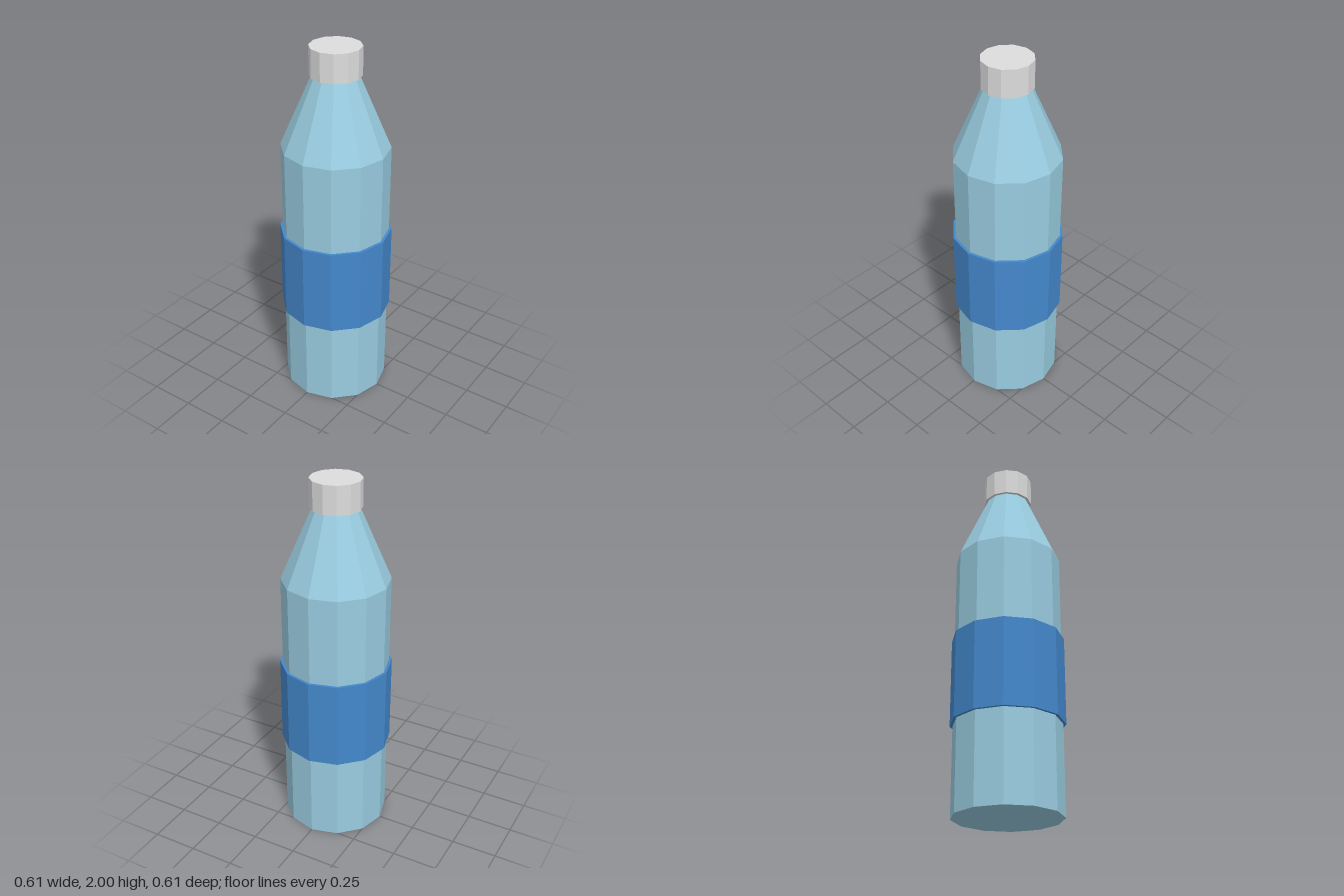
import * as THREE from 'three';

const SIDES = 12;

export function createModel() {
  const model = new THREE.Group();
  model.name = 'bottle';

  const flat = (name, color) => {
    const m = new THREE.MeshStandardMaterial({ color, flatShading: true });
    m.name = name;
    return m;
  };
  const paleBlue = flat('pale blue', 0x99cce0);
  const blue = flat('blue', 0x4488cc);
  const lightGrey = flat('light grey', 0xdddddd);

  // Faceted part turned from [radius, y] points, listed bottom to top
  const turned = (name, material, points) => {
    const profile = points.map(([r, y]) => new THREE.Vector2(r, y));
    const mesh = new THREE.Mesh(new THREE.LatheGeometry(profile, SIDES), material);
    mesh.name = name;
    model.add(mesh);
  };

  // Straight body with tapered shoulder
  turned('body', paleBlue, [[0, 0], [0.29, 0], [0.29, 1.46], [0.12, 1.85], [0, 1.85]]);

  // Raised band around the body
  turned('labelBand', blue, [[0.29, 0.49], [0.305, 0.49], [0.305, 0.975], [0.29, 0.975]]);

  // Screw cap, slightly wider than the neck
  turned('cap', lightGrey, [[0, 1.848], [0.136, 1.848], [0.136, 2], [0, 2]]);

  return model;
}
